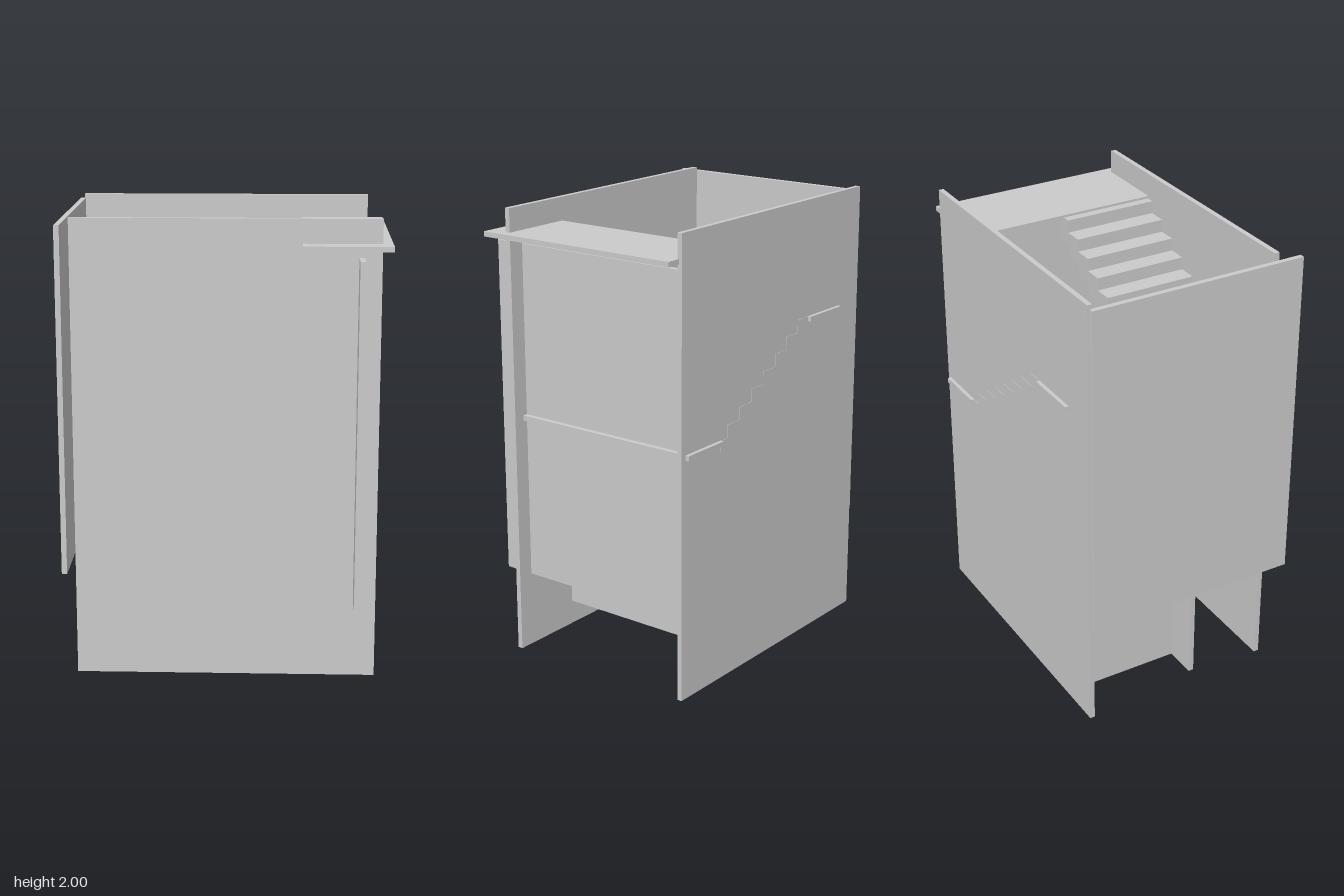
import * as THREE from 'three';

export function createModel() {
  const group = new THREE.Group();
  const material = new THREE.MeshStandardMaterial({ color: 0xcccccc, flatShading: true });

  // Box given by its limits along each axis
  function slab(name, [x0, x1], [y0, y1], [z0, z1], parent = group) {
    const mesh = new THREE.Mesh(new THREE.BoxGeometry(x1 - x0, y1 - y0, z1 - z0), material);
    mesh.position.set((x0 + x1) / 2, (y0 + y1) / 2, (z0 + z1) / 2);
    mesh.name = name;
    parent.add(mesh);
  }

  // Enclosing walls
  slab('frontWall', [-0.65, 0.65], [0, 2], [0.38, 0.403]);
  slab('backWall', [-0.68, 0.625], [0, 2], [-0.5, -0.478]);
  slab('leftEndWall', [-0.7, -0.677], [0.48, 1.98], [-0.49, 0.488]);
  slab('rightEndWall', [0.553, 0.577], [0.34, 1.84], [-0.457, 0.517]);

  // Floors and landings
  slab('topFloor', [0.32, 0.693], [1.875, 1.897], [-0.487, 0.487]);
  slab('middleLanding', [-0.525, -0.28], [1.465, 1.487], [-0.517, 0.382]);
  slab('lowerLanding', [0.36, 0.6], [1.065, 1.087], [-0.517, 0.385]);

  // Walls below the stairs
  slab('supportWall', [0.23, 0.32], [0.12, 1.065], [-0.48, 0.367]);
  slab('closetFrontWall', [-0.672, 0.017], [0.05, 0.645], [0.01, 0.034]);
  slab('closetSideWall', [-0.527, -0.505], [0.05, 0.645], [-0.48, 0.012]);

  // Flight with a stepped top and a stepped underside, climbing 7 risers along +x
  const rise = 0.4 / 7, tread = 0.0855, length = 0.64, first = 0.05;
  function flight(name, z0, z1) {
    const edge = (k) => first + k * tread;
    const points = [[0, -rise], [0, 0]];
    for (let k = 0; k < 7; k++) points.push([edge(k), k * rise], [edge(k), (k + 1) * rise]);
    points.push([length, 7 * rise], [length, 5 * rise]);
    for (let k = 6; k >= 1; k--) points.push([edge(k) + tread * 0.9, (k - 1) * rise], [edge(k) + tread * 0.9 - tread, (k - 1) * rise]);
    points.push([edge(0) + tread * 0.9, -rise]);
    const shape = new THREE.Shape(points.map(([x, y]) => new THREE.Vector2(x, y)));
    const geometry = new THREE.ExtrudeGeometry(shape, { depth: z1 - z0, bevelEnabled: false });
    const mesh = new THREE.Mesh(geometry, material);
    mesh.name = name;
    mesh.position.z = z0;
    group.add(mesh);
    return mesh;
  }
  const upper = flight('upperFlight', -0.05, 0.377);
  upper.position.set(-0.28, 1.486, -0.05);

  // Lower flight turned round so that it climbs towards -x
  const lower = flight('lowerFlight', -0.502, -0.08);
  lower.rotation.y = Math.PI;
  lower.position.set(0.36, 1.086, -0.08);

  return group;
}
